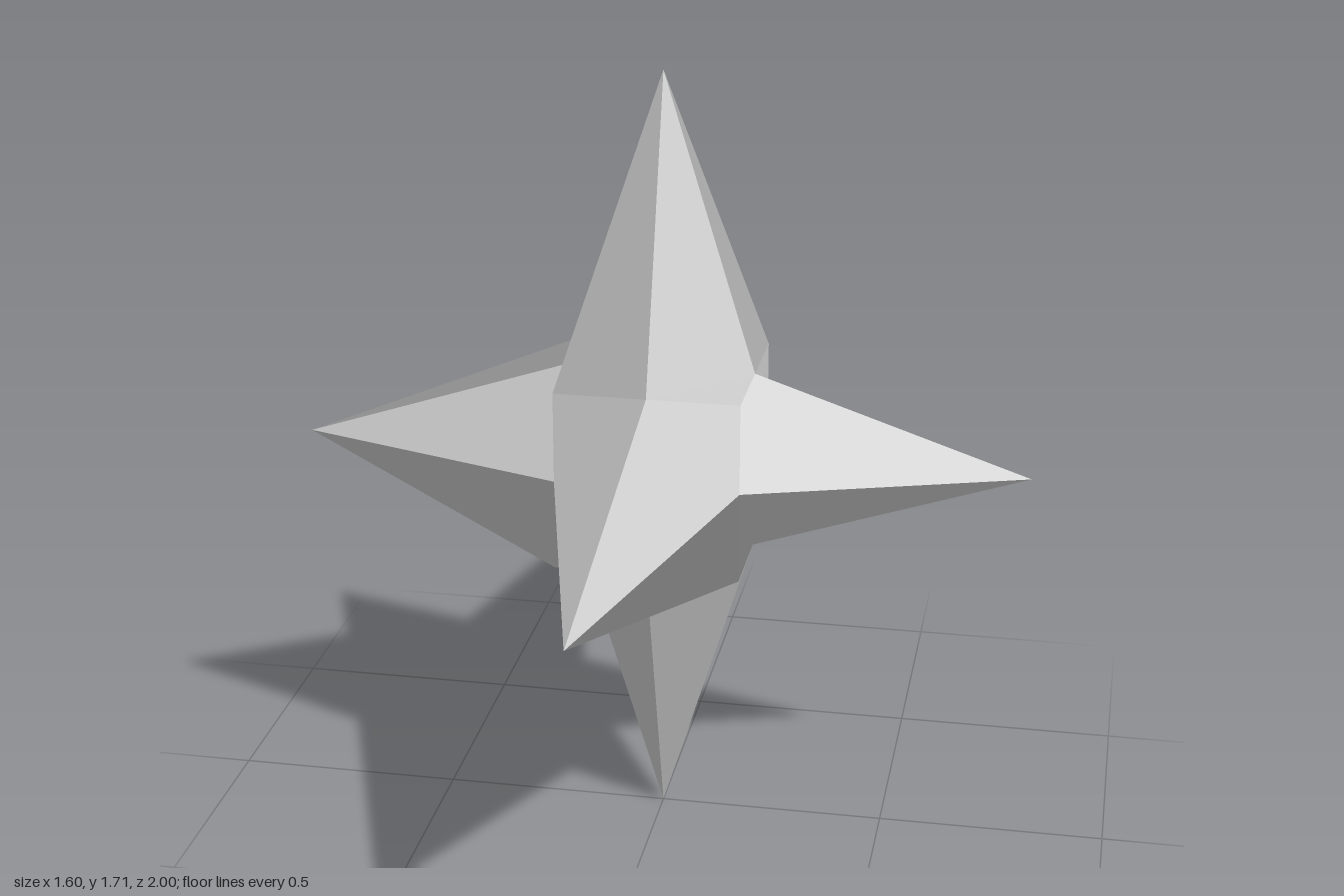
import * as THREE from 'three';

const CORE = 0.2;                                        // half size of the cubic core
const REACH = new THREE.Vector3(0.8, 0.855, 1.0);        // spike lengths along x, y, z

// One spike of four facets: each facet is a folded quad (tip, edge middle, core corner, edge middle)
// that shares a single normal so it reads as one plane.
function spikeGeometry(axis, sign) {
  const positions = [], normals = [];
  const [u, v] = [(axis + 1) % 3, (axis + 2) % 3];
  const tip = new THREE.Vector3().setComponent(axis, sign * REACH.getComponent(axis));
  const basePoint = (a, b) => new THREE.Vector3()
    .setComponent(axis, sign * CORE)
    .setComponent(u, a * CORE)
    .setComponent(v, b * CORE);

  for (const su of [1, -1]) for (const sv of [1, -1]) {
    const corner = basePoint(su, sv);
    const odd = sign * su * sv < 0;                      // octants alternate
    // Counter-clockwise order seen from outside
    const m1 = odd ? basePoint(0, sv) : basePoint(su, 0);
    const m2 = odd ? basePoint(su, 0) : basePoint(0, sv);
    // Ridge from tip to corner in every other octant, otherwise a valley between edge middles;
    // the x spikes alternate the opposite way to the y and z spikes
    const ridge = axis === 0 ? !odd : odd;
    const triangles = ridge
      ? [tip, m1, corner, tip, corner, m2]
      : [tip, m1, m2, m1, corner, m2];
    const normal = corner.clone().sub(tip).cross(m2.clone().sub(m1)).normalize();
    if (normal.dot(corner) < 0) normal.negate();
    for (const p of triangles) {
      positions.push(p.x, p.y, p.z);
      normals.push(normal.x, normal.y, normal.z);
    }
  }
  const geometry = new THREE.BufferGeometry();
  geometry.setAttribute('position', new THREE.Float32BufferAttribute(positions, 3));
  geometry.setAttribute('normal', new THREE.Float32BufferAttribute(normals, 3));
  return geometry;
}

export function createModel() {
  const group = new THREE.Group();
  group.name = 'spikedStar';
  const grey = new THREE.MeshStandardMaterial({ color: 0xcccccc });
  grey.name = 'light grey';

  // Six spikes meet along the edges of the core
  const names = [['leftSpike', 'rightSpike'], ['topSpike', 'bottomSpike'], ['frontSpike', 'backSpike']];
  names.forEach((pair, axis) => pair.forEach((name, i) => {
    const spike = new THREE.Mesh(spikeGeometry(axis, i ? -1 : 1), grey);
    spike.name = name;
    spike.position.y = REACH.y;
    group.add(spike);
  }));
  return group;
}
